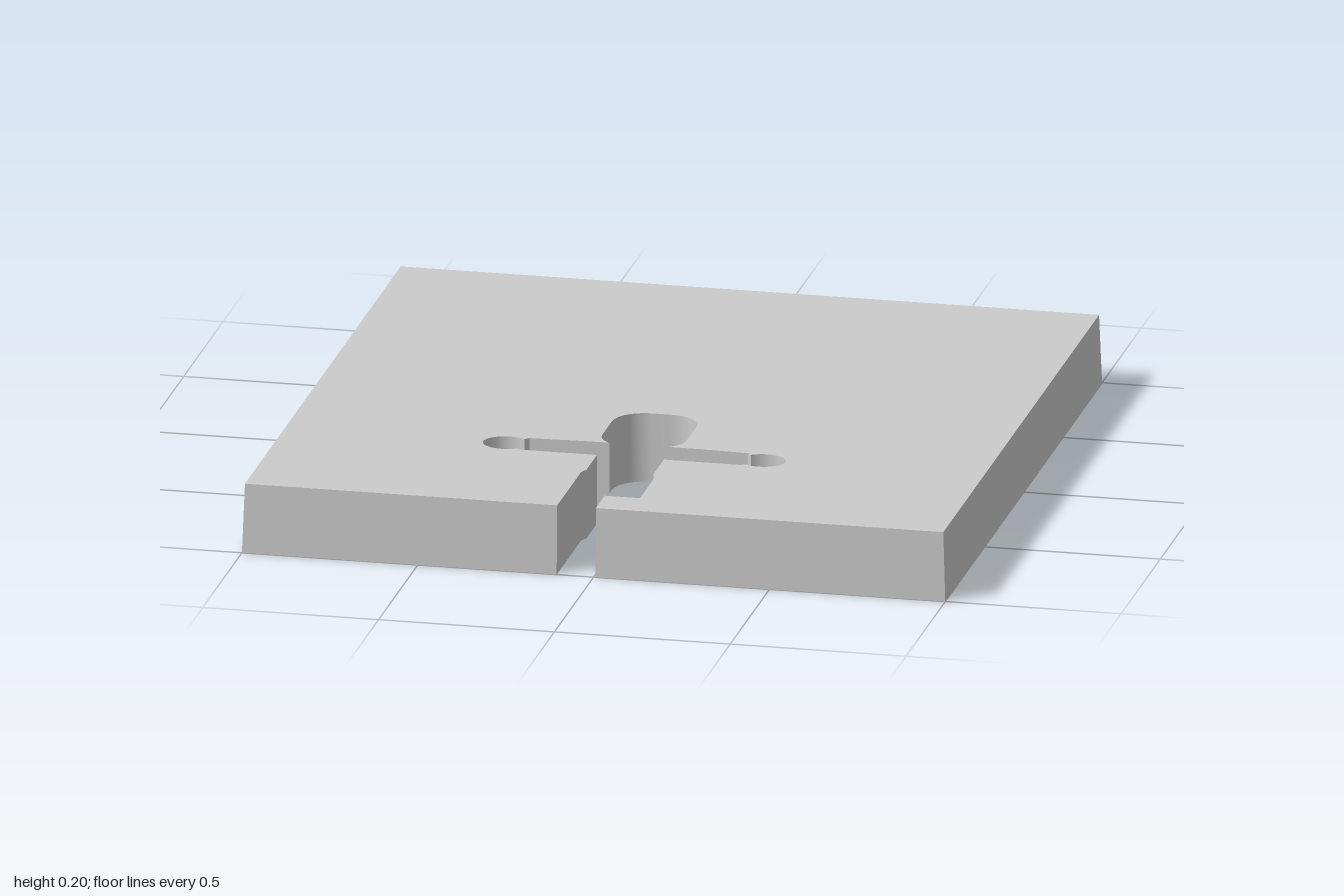
import * as THREE from 'three';
import { toCreasedNormals } from 'three/addons/utils/BufferGeometryUtils.js';

const HEIGHT = 0.2;
const DRAFT = 0.007; // the outer walls lean in slightly towards the top

// Left half of the figure-shaped cutout, from hip to top of head (shape y = -z)
function halfFigure() {
  const p = new THREE.Path();
  p.moveTo(-0.105, -0.69);
  p.lineTo(-0.095, -0.665);
  p.lineTo(-0.095, -0.53);
  p.lineTo(-0.315, -0.53); // underside of arm
  p.absellipse(-0.365, -0.478, 0.065, 0.056, -0.9, 0.85, true); // rounded hand
  p.lineTo(-0.31, -0.424);
  p.lineTo(-0.18, -0.418); // top of arm
  p.lineTo(-0.085, -0.416);
  p.quadraticCurveTo(-0.12, -0.39, -0.12, -0.35); // cheek
  p.lineTo(-0.12, -0.23);
  p.bezierCurveTo(-0.12, -0.175, -0.08, -0.135, -0.025, -0.135); // crown
  return p.getPoints(14);
}

function createSlab() {
  const v = (x, y) => new THREE.Vector2(x, y);
  const half = halfFigure();
  const mirrored = half.map((q) => v(-q.x, q.y)).reverse();

  // Square outline that runs in through the open leg and around the figure
  const shape = new THREE.Shape([
    v(-1, -1), v(-0.105, -1),
    ...half, ...mirrored,
    v(0.105, -0.88), v(0.005, -0.88), v(0.005, -1),
    v(1, -1), v(1, 1), v(-1, 1),
  ]);

  const geometry = new THREE.ExtrudeGeometry(shape, { depth: HEIGHT, bevelEnabled: false });
  geometry.rotateX(-Math.PI / 2);

  // Draft on the outer walls
  const pos = geometry.attributes.position;
  for (let i = 0; i < pos.count; i++) {
    const inset = 1 - DRAFT * (pos.getY(i) / HEIGHT);
    if (Math.abs(pos.getX(i)) > 0.99) pos.setX(i, pos.getX(i) * inset);
    if (Math.abs(pos.getZ(i)) > 0.99) pos.setZ(i, pos.getZ(i) * inset);
  }
  return toCreasedNormals(geometry, Math.PI / 6);
}

export function createModel() {
  const model = new THREE.Group();
  model.name = 'slabWithFigureCutout';
  const slab = new THREE.Mesh(createSlab(), new THREE.MeshStandardMaterial({ color: 0xcccccc }));
  slab.name = 'slab';
  model.add(slab);
  return model;
}
